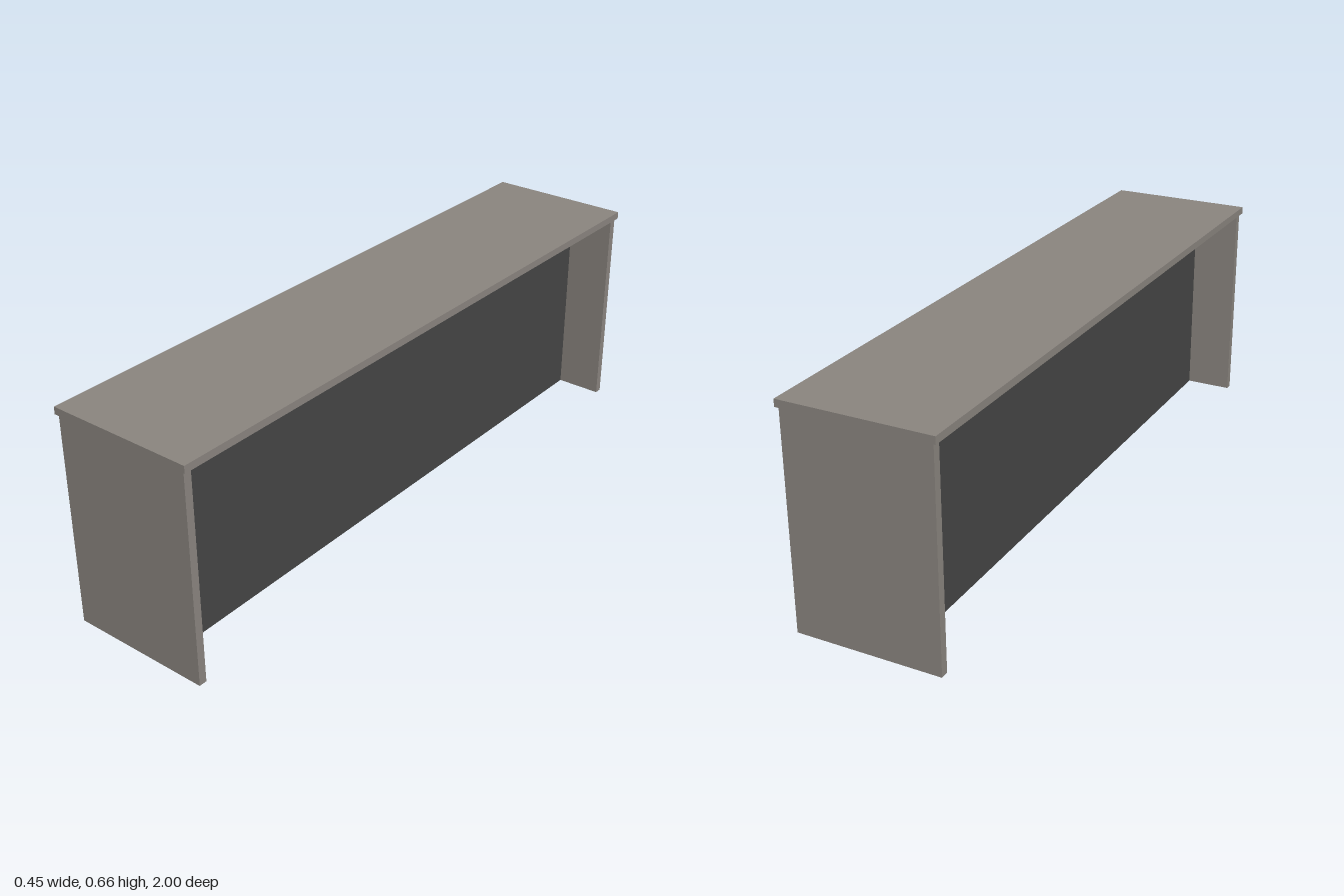
import * as THREE from 'three';

const TOP = 0.662, SLAB = 0.022, UNDER = TOP - SLAB; // heights
const END_OUT = 0.995, END_THICK = 0.024;            // end panels along z

export function createModel() {
  const group = new THREE.Group();
  const taupe = new THREE.MeshStandardMaterial({ color: 0x8b8680 });
  taupe.name = 'taupe laminate';
  const charcoal = new THREE.MeshStandardMaterial({ color: 0x464646, side: THREE.DoubleSide });
  charcoal.name = 'charcoal panel';

  const add = (name, geometry, material, x, y, z) => {
    const mesh = new THREE.Mesh(geometry, material);
    mesh.name = name;
    mesh.position.set(x, y, z);
    group.add(mesh);
    return mesh;
  };

  // Overhanging top
  add('counterTop', new THREE.BoxGeometry(0.452, SLAB, 2), taupe, 0, TOP - SLAB / 2, 0);

  for (const side of [-1, 1]) {
    // Upright end panels
    add(side > 0 ? 'frontEndPanel' : 'backEndPanel',
      new THREE.BoxGeometry(0.434, UNDER, END_THICK), taupe,
      0, UNDER / 2, side * (END_OUT - END_THICK / 2));

    // Recessed thin panels between the ends, open underneath
    const panel = add(side > 0 ? 'leftRecessedPanel' : 'rightRecessedPanel',
      new THREE.PlaneGeometry(2 * (END_OUT - END_THICK), UNDER), charcoal,
      side * 0.072, UNDER / 2, 0);
    panel.rotation.y = side * Math.PI / 2;
  }
  return group;
}
